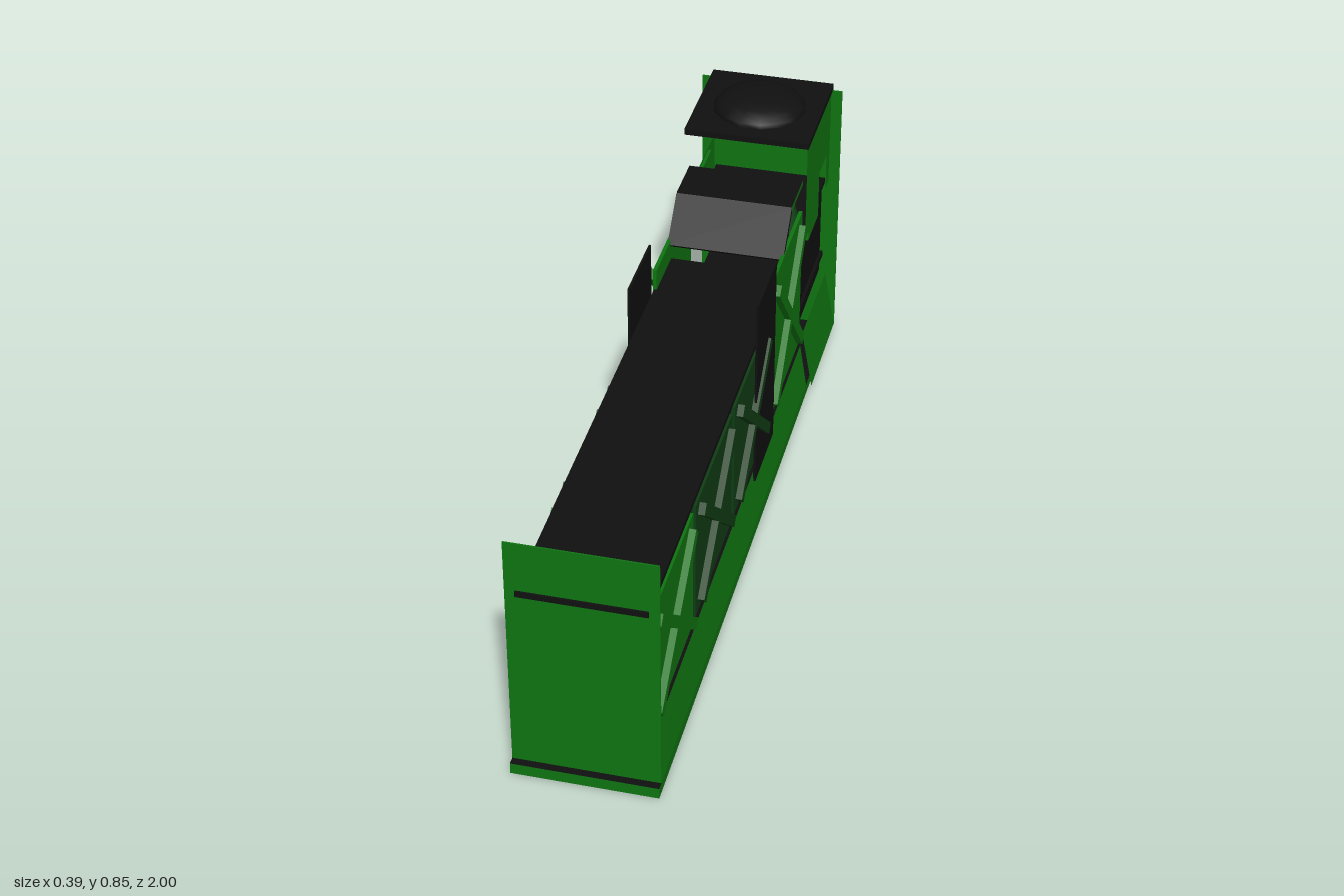
import * as THREE from 'three';

export function createModel() {
  const mat = (name, color, side = THREE.FrontSide) => {
    const m = new THREE.MeshStandardMaterial({ color, side });
    m.name = name;
    return m;
  };
  const green = mat('green', 0x0f7411, THREE.DoubleSide);
  const darkGreen = mat('dark green', 0x0f3d14);
  const black = mat('black', 0x101010);
  const greenFace = mat('green outer face', 0x0f7411);

  const model = new THREE.Group();
  const add = (name, geometry, material, parent = model) => {
    const mesh = new THREE.Mesh(geometry, material);
    mesh.name = name;
    parent.add(mesh);
    return mesh;
  };
  // box given by its limits on each axis
  const block = (name, [x0, x1], [y0, y1], [z0, z1], material, parent) => {
    const mesh = add(name, new THREE.BoxGeometry(x1 - x0, y1 - y0, z1 - z0), material, parent);
    mesh.position.set((x0 + x1) / 2, (y0 + y1) / 2, (z0 + z1) / 2);
    return mesh;
  };
  // thin side piece between two x values, mirrored by s
  const sideBlock = (name, s, x0, x1, y, z, material, parent) =>
    block(name, s > 0 ? [x0, x1] : [-x1, -x0], y, z, material, parent);

  // floor frame with black top and underside
  block('base', [-0.18, 0.18], [0, 0.03], [-1, 1], [green, green, black, black, green, green]);

  // end walls
  block('frontWall', [-0.18, 0.18], [0.03, 0.675], [0.976, 0.98], green);
  block('rearWall', [-0.195, 0.195], [0.03, 0.79], [-0.98, -0.976], green);

  // engine deck and raised deck in front of the cab
  block('engineDeck', [-0.155, 0.155], [0.527, 0.542], [-0.43, 0.985], black);
  block('raisedDeck', [-0.155, 0.155], [0.677, 0.691], [-0.66, -0.52],
    [green, green, black, black, black, black]);
  const rise = 0.1, run = 0.1;
  const slope = add('slopedDeck', new THREE.BoxGeometry(0.31, 0.014, Math.hypot(rise, run)), black);
  slope.position.set(0, 0.636, -0.472);
  slope.rotation.x = Math.atan2(rise, run);

  // skirt panel leaning outwards towards the base
  const leaning = (name, s, xTop, xBottom, yTop, yBottom, zBack, zFront) => {
    const g = new THREE.PlaneGeometry(1, 1);
    const p = g.attributes.position;
    for (let i = 0; i < p.count; i++) {
      const top = p.getY(i) > 0;
      p.setXYZ(i, s * (top ? xTop : xBottom), top ? yTop : yBottom,
        p.getX(i) * s < 0 ? zFront : zBack);
    }
    g.computeVertexNormals();
    return add(name, g, green);
  };

  const doors = [
    { z: [0.58, 0.97], top: 0.515, paint: green },
    { z: [0.175, 0.555], top: 0.515, paint: darkGreen },
    { z: [-0.23, 0.15], top: 0.515, paint: darkGreen },
    { z: [-0.65, -0.275], top: 0.6, paint: green },
  ];

  for (const s of [1, -1]) {
    leaning('skirt', s, 0.16, 0.18, 0.16, 0.03, -0.66, 0.98);
    leaning('cabSkirt', s, 0.165, 0.195, 0.2, 0.03, -0.98, -0.66);

    // engine doors with crossed braces
    for (const { z, top, paint } of doors) {
      const door = new THREE.Group();
      door.name = 'engineDoor';
      model.add(door);
      sideBlock('doorPanel', s, 0.148, 0.158, [0.18, top], z, paint, door);
      const h = top - 0.18, w = z[1] - z[0];
      for (const d of [1, -1]) {
        const brace = add('doorBrace', new THREE.BoxGeometry(0.018, 0.03,
          Math.hypot(h, w) - 0.08), paint, door);
        brace.position.set(s * 0.166, 0.18 + h / 2, (z[0] + z[1]) / 2);
        brace.rotation.x = d * Math.atan2(h - 0.02, w - 0.02);
      }
    }

    // tall black plate over the middle of the side
    sideBlock('sidePlate', s, 0.162, 0.168, [0.135, 0.677], [-0.275, -0.06], black);

    // upper cab side with an opening along its lower edge
    const wall = new THREE.Shape([
      [-0.16, 0.505], [-0.115, 0.505], [-0.115, 0.61], [0.115, 0.61],
      [0.115, 0.505], [0.16, 0.505], [0.16, 0.79], [-0.16, 0.79],
    ].map(([x, y]) => new THREE.Vector2(x, y)));
    const cabSide = add('cabSide', new THREE.ShapeGeometry(wall), greenFace);
    cabSide.rotation.y = s * Math.PI / 2;
    cabSide.position.set(s * 0.165, 0, -0.82);

    // seat side and lever inside the cab
    sideBlock('seatSide', s, 0.148, 0.156, [0.445, 0.612], [-0.885, -0.752], green);
    const lever = add('lever', new THREE.ConeGeometry(0.035, 0.11, 8), darkGreen);
    lever.position.set(s * 0.12, 0.56, -0.695);
  }

  // faces seen through the cab openings
  const inner = (name, x, y0, y1, material) => {
    const mesh = add(name, new THREE.PlaneGeometry(0.32, y1 - y0), material);
    mesh.rotation.y = Math.PI / 2;
    mesh.position.set(x, (y0 + y1) / 2, -0.82);
  };
  inner('cabLowerWall', 0.147, 0.21, 0.505, black);
  inner('cabInnerWall', -0.16, 0.505, 0.61, greenFace);

  // cab shelves, roof and dome
  for (const y of [0.265, 0.505])
    block('cabShelf', [-0.155, 0.155], [y - 0.008, y + 0.008], [-0.986, -0.66], black);
  block('cabRoof', [-0.168, 0.168], [0.787, 0.804], [-0.99, -0.656], black);
  const dome = add('roofDome',
    new THREE.SphereGeometry(0.125, 14, 6, 0, Math.PI * 2, 0, Math.PI / 2), black);
  dome.scale.y = 0.38;
  dome.position.set(0, 0.803, -0.82);

  return model;
}
